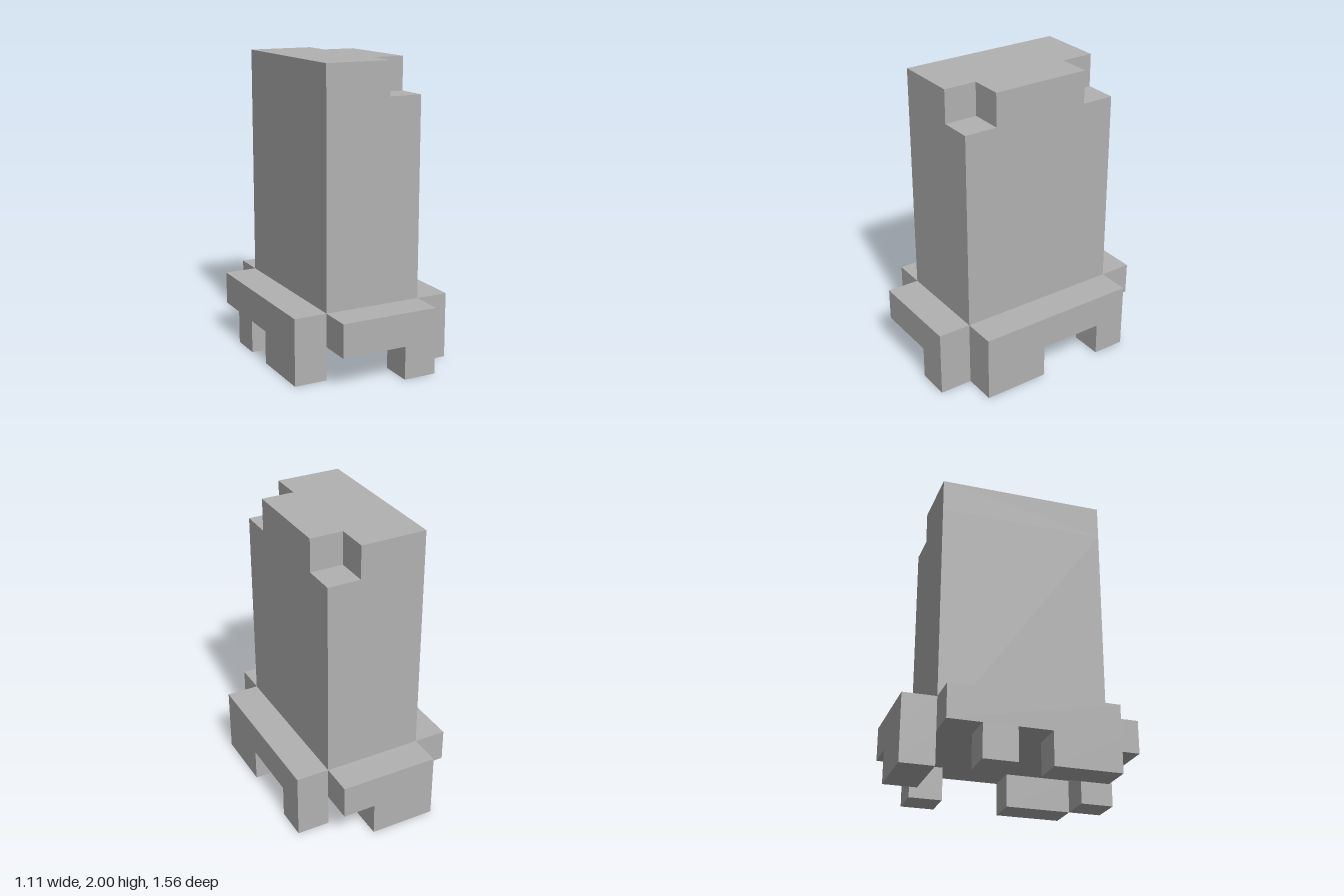
import * as THREE from 'three';

// one grid cell; the model is 5 x 9 x 7 cells
const U = 2 / 9;

export function createModel() {
  const model = new THREE.Group();
  model.name = 'tower';
  const grey = new THREE.MeshStandardMaterial({ color: 0xb2b2b2 });
  grey.name = 'grey';

  const add = (name, geometry) => {
    const mesh = new THREE.Mesh(geometry, grey);
    mesh.name = name;
    model.add(mesh);
    return mesh;
  };

  // box from min/max cell boundaries
  const block = (name, x0, x1, y0, y1, z0, z1) => {
    const mesh = add(name, new THREE.BoxGeometry((x1 - x0) * U, (y1 - y0) * U, (z1 - z0) * U));
    mesh.position.set((x0 + x1) / 2 * U, (y0 + y1) / 2 * U, (z0 + z1) / 2 * U);
  };

  // main shaft
  block('shaft', -1.5, 1.5, 1, 8, -2.5, 2.5);

  // top layer, with both left corners notched
  const plan = [[-1.5, -2.5], [0.5, -2.5], [0.5, -1.5], [1.5, -1.5],
    [1.5, 1.5], [0.5, 1.5], [0.5, 2.5], [-1.5, 2.5]];
  const shape = new THREE.Shape(plan.map(([x, z]) => new THREE.Vector2(x * U, z * U)));
  const crown = new THREE.ExtrudeGeometry(shape, { depth: U, bevelEnabled: false });
  crown.rotateX(-Math.PI / 2);
  add('notchedTop', crown).position.y = 8 * U;

  // ledges around the base
  block('frontLedge', -1.5, 1.5, 1, 2, 2.5, 3.5);
  block('backLedge', -1.5, 1.5, 1, 2, -3.5, -2.5);
  block('leftLedge', 1.5, 2.5, 1, 2, -2.5, 2.5);
  block('rightLedge', -2.5, -1.5, 1, 2, -2.5, 2.5);

  // feet under the ledges
  block('frontFoot', 0.5, 1.5, 0, 1, 2.5, 3.5);
  block('backFoot', -1.5, 0.5, 0, 1, -3.5, -2.5);
  block('leftFrontFoot', 1.5, 2.5, 0, 1, 0.5, 2.5);
  block('leftBackFoot', 1.5, 2.5, 0, 1, -2.5, -1.5);
  block('rightFrontFoot', -2.5, -1.5, 0, 1, 0.5, 2.5);
  block('rightBackFoot', -2.5, -1.5, 0, 1, -1.5, -0.5);

  return model;
}
